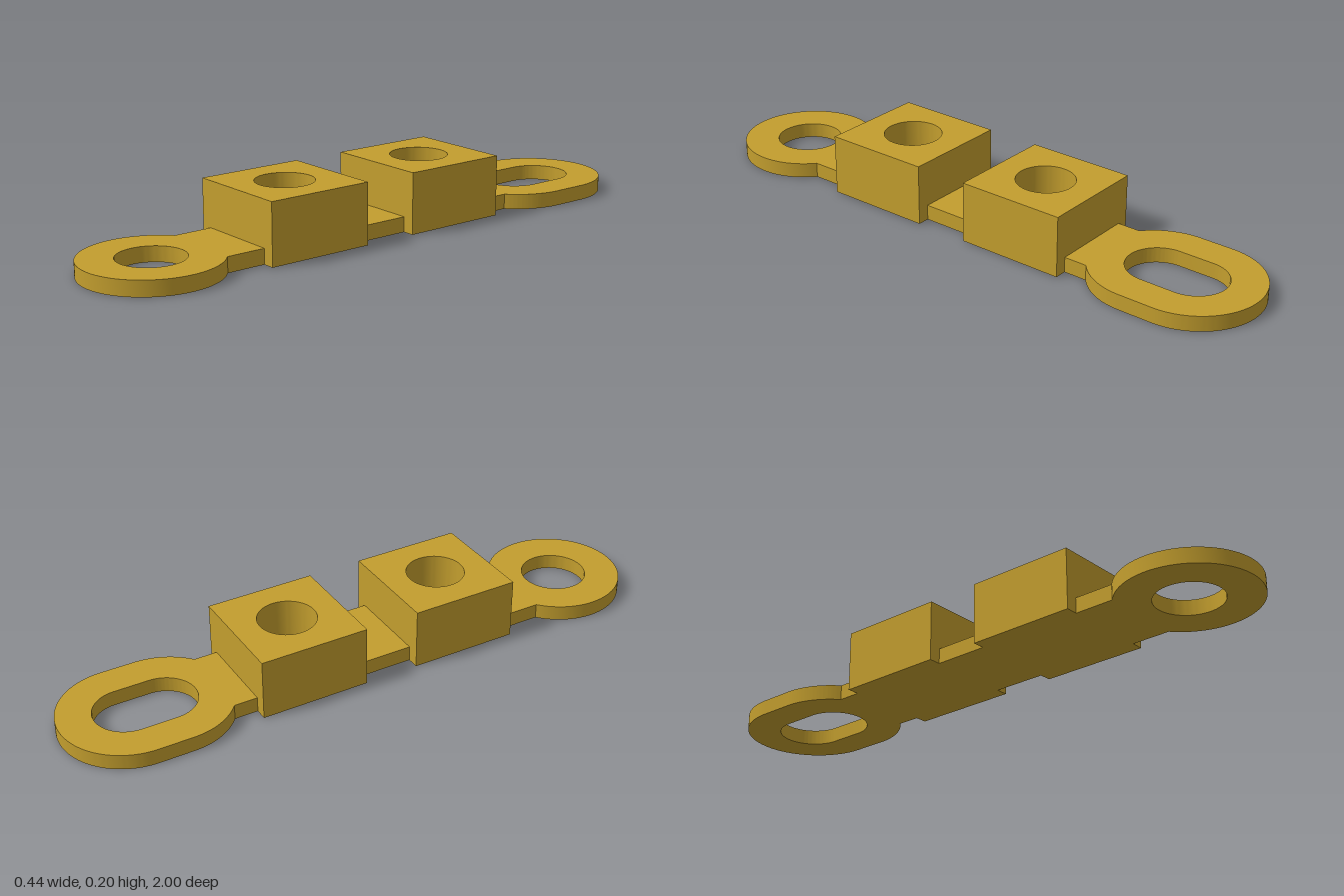
import * as THREE from 'three';
import { toCreasedNormals } from 'three/addons/utils/BufferGeometryUtils.js';

const PLATE = 0.05, TOP = 0.2;      // plate thickness, overall height
const HALF = 0.14, BLOCK = 0.18;    // half widths of strip and blocks
const RING = 0.22, HOLE = 0.107;    // end lug radii
const FRONT_Z = 0.78, SLOT_OUT = 0.783, SLOT_IN = 0.667;
const BLOCKS = [['frontBlock', 0.3], ['backBlock', -0.24]];

// Extrude a plan shape (drawn with y = -z) upwards from a given height
function extrudeUp(shape, base, height) {
  const geo = new THREE.ExtrudeGeometry(shape, { depth: height, bevelEnabled: false, curveSegments: 40 });
  geo.rotateX(-Math.PI / 2).translate(0, base, 0);
  return toCreasedNormals(geo, 0.5);
}

// Flat strip with a round lug, a slotted lug and wider feet under the blocks
function plateShape() {
  const a = Math.acos(HALF / RING);
  const side = [];
  for (const [, z] of BLOCKS) {
    side.push([HALF, -z - BLOCK], [BLOCK, -z - BLOCK], [BLOCK, -z + BLOCK], [HALF, -z + BLOCK]);
  }
  const s = new THREE.Shape();
  s.absarc(0, -FRONT_Z, RING, Math.PI - a, 2 * Math.PI + a, false);
  side.forEach(([x, y]) => s.lineTo(x, y));
  s.absarc(0, SLOT_IN, RING, -a, 0, false);
  s.absarc(0, SLOT_OUT - 0.003, RING, 0, Math.PI, false);
  s.absarc(0, SLOT_IN, RING, Math.PI, Math.PI + a, false);
  side.reverse().forEach(([x, y]) => s.lineTo(-x, y));
  s.closePath();

  const round = new THREE.Path().absarc(0, -FRONT_Z, HOLE, 0, 2 * Math.PI, true);
  const slot = new THREE.Path();
  slot.absarc(0, SLOT_OUT, HOLE, Math.PI, 0, true);
  slot.absarc(0, SLOT_IN, HOLE, 0, -Math.PI, true);
  slot.closePath();
  s.holes.push(round, slot);
  return s;
}

// Square block with a blind round bore
function blockShape(z) {
  const s = new THREE.Shape();
  s.moveTo(-BLOCK, -z - BLOCK).lineTo(BLOCK, -z - BLOCK);
  s.lineTo(BLOCK, -z + BLOCK).lineTo(-BLOCK, -z + BLOCK).closePath();
  s.holes.push(new THREE.Path().absarc(0, -z, 0.094, 0, 2 * Math.PI, true));
  return s;
}

export function createModel() {
  const group = new THREE.Group();
  group.name = 'mountingBar';
  const brass = new THREE.MeshStandardMaterial({ color: 0xc39e2e });
  brass.name = 'brass';
  const add = (name, geo) => {
    const mesh = new THREE.Mesh(geo, brass);
    mesh.name = name;
    group.add(mesh);
  };
  add('basePlate', extrudeUp(plateShape(), 0, PLATE));
  for (const [name, z] of BLOCKS) add(name, extrudeUp(blockShape(z), PLATE, TOP - PLATE));
  return group;
}
